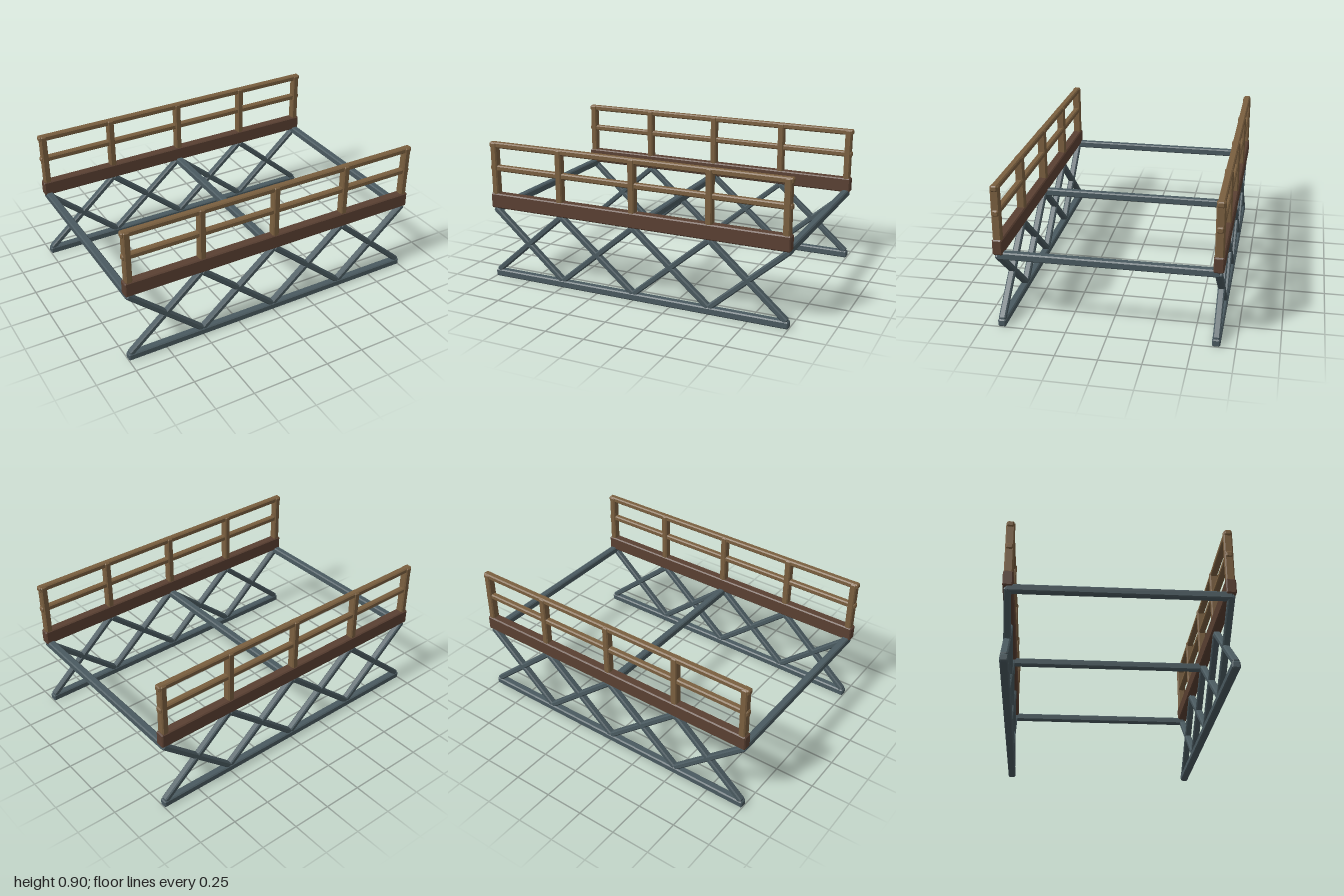
import * as THREE from 'three';

const metal = new THREE.MeshStandardMaterial({ color: 0x4a5a60, flatShading: true });
const railWood = new THREE.MeshStandardMaterial({ color: 0x7a5f3f, flatShading: true });
const beamWood = new THREE.MeshStandardMaterial({ color: 0x5a4032, flatShading: true });

// Chamfered bar between two points; w is its sideways and h its upright thickness
function bar(name, from, to, w, h, material, c = 0.007) {
  const a = new THREE.Vector3(...from), b = new THREE.Vector3(...to);
  const x = w / 2, y = h / 2, length = a.distanceTo(b);
  const section = new THREE.Shape([
    [x, c - y], [x, y - c], [x - c, y], [c - x, y],
    [-x, y - c], [-x, c - y], [c - x, -y], [x - c, -y],
  ].map(([px, py]) => new THREE.Vector2(px, py)));
  const geometry = new THREE.ExtrudeGeometry(section, {
    depth: length - 2 * c, bevelEnabled: true, bevelThickness: c,
    bevelSize: c, bevelOffset: -c, bevelSegments: 1,
  });
  geometry.translate(0, 0, c - length / 2);
  const mesh = new THREE.Mesh(geometry, material);
  mesh.name = name;
  mesh.position.copy(a).add(b).multiplyScalar(0.5);
  mesh.lookAt(b);
  return mesh;
}

// One side of the bridge: truss, edge beam and railing
function createSide(z) {
  const side = new THREE.Group();
  const along = (name, y, w, h, material) =>
    side.add(bar(name, [-1, y, z], [1, y, z], w, h, material));

  along('bottomChord', 0.023, 0.048, 0.046, metal);
  along('edgeBeam', 0.519, 0.06, 0.096, beamWood);
  along('middleRail', 0.732, 0.04, 0.036, railWood);
  along('topRail', 0.882, 0.042, 0.036, railWood);

  // Crossed braces in four bays
  const nodes = [-0.985, -0.5, 0, 0.5, 0.985];
  for (let i = 0; i < 4; i++) {
    const l = nodes[i], r = nodes[i + 1];
    side.add(bar('risingBrace', [l, 0.04, z], [r, 0.465, z], 0.042, 0.035, metal));
    side.add(bar('fallingBrace', [l, 0.465, z], [r, 0.04, z], 0.042, 0.035, metal));
  }

  // Railing posts
  for (const x of [-0.97, -0.5, 0, 0.5, 0.97]) {
    // Upright bars turn their sideways axis to x
    side.add(bar('railingPost', [x, 0.55, z], [x, 0.897, z], 0.042, 0.052, railWood));
  }
  return side;
}

export function createModel() {
  const model = new THREE.Group();
  model.name = 'bridgeFrame';
  for (const [name, z] of [['frontSide', 0.636], ['backSide', -0.636]]) {
    const side = createSide(z);
    side.name = name;
    model.add(side);
  }
  // Cross beams joining both sides
  for (const x of [-0.97, 0, 0.97]) {
    model.add(bar('crossBeam', [x, 0.463, -0.645], [x, 0.463, 0.645], 0.046, 0.046, metal));
  }
  return model;
}
